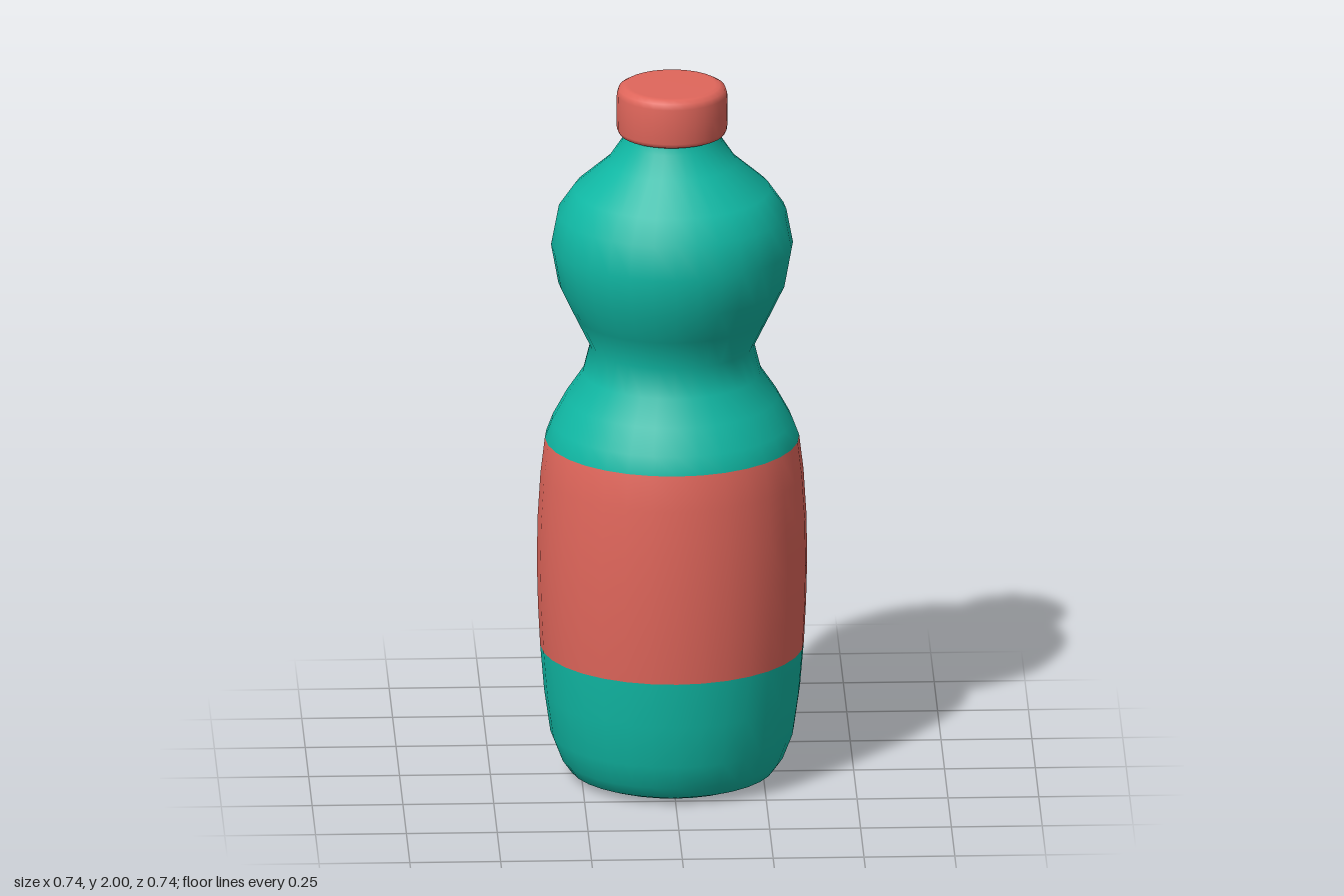
import * as THREE from 'three';

const SEGMENTS = 32;

const teal = new THREE.MeshStandardMaterial({ color: 0x10b8a4 });
teal.name = 'teal plastic';
const coral = new THREE.MeshStandardMaterial({ color: 0xe0665b });
coral.name = 'coral';

const lathe = (profile) =>
  new THREE.LatheGeometry(profile.map(([r, y]) => new THREE.Vector2(r, y)), SEGMENTS);

// Keeps only the profile rows from..to, so the bands share smooth normals
function band(full, rows, from, to) {
  const geometry = full.clone();
  const index = Array.from(full.index.array);
  geometry.setIndex(index.filter((_, k) => {
    const row = Math.floor(k / 6) % rows;
    return row >= from && row < to;
  }));
  return geometry;
}

export function createModel() {
  const group = new THREE.Group();
  group.name = 'bottle';
  const add = (name, geometry, material) => {
    const mesh = new THREE.Mesh(geometry, material);
    mesh.name = name;
    group.add(mesh);
  };

  // Body outline as [radius, height], from the base up to the neck
  const body = [
    [0, 0.004], [0.2, 0.004], [0.245, 0.01], [0.283, 0.025], [0.308, 0.06], [0.335, 0.13],
    [0.352, 0.25], [0.363, 0.38],
    [0.369, 0.5], [0.372, 0.62], [0.37, 0.75], [0.362, 0.88], [0.35, 0.98],
    [0.331, 1.03], [0.293, 1.1], [0.246, 1.17], [0.226, 1.25], [0.27, 1.34], [0.313, 1.43],
    [0.333, 1.54], [0.315, 1.635], [0.27, 1.7], [0.178, 1.78], [0.138, 1.84], [0.13, 1.88],
  ];
  const rows = body.length - 1;
  const labelStart = body.findIndex(([, y]) => y === 0.38);
  const labelEnd = body.findIndex(([, y]) => y === 0.98);
  const full = lathe(body);

  add('lowerBody', band(full, rows, 0, labelStart), teal);
  add('label', band(full, rows, labelStart, labelEnd), coral);
  add('upperBody', band(full, rows, labelEnd, rows), teal);

  // Screw cap with rounded rims
  add('cap', lathe([
    [0, 1.86], [0.135, 1.86], [0.146, 1.864], [0.152, 1.876], [0.153, 1.93],
    [0.152, 1.975], [0.147, 1.991], [0.133, 1.999], [0.12, 2], [0, 2],
  ]), coral);

  return group;
}
